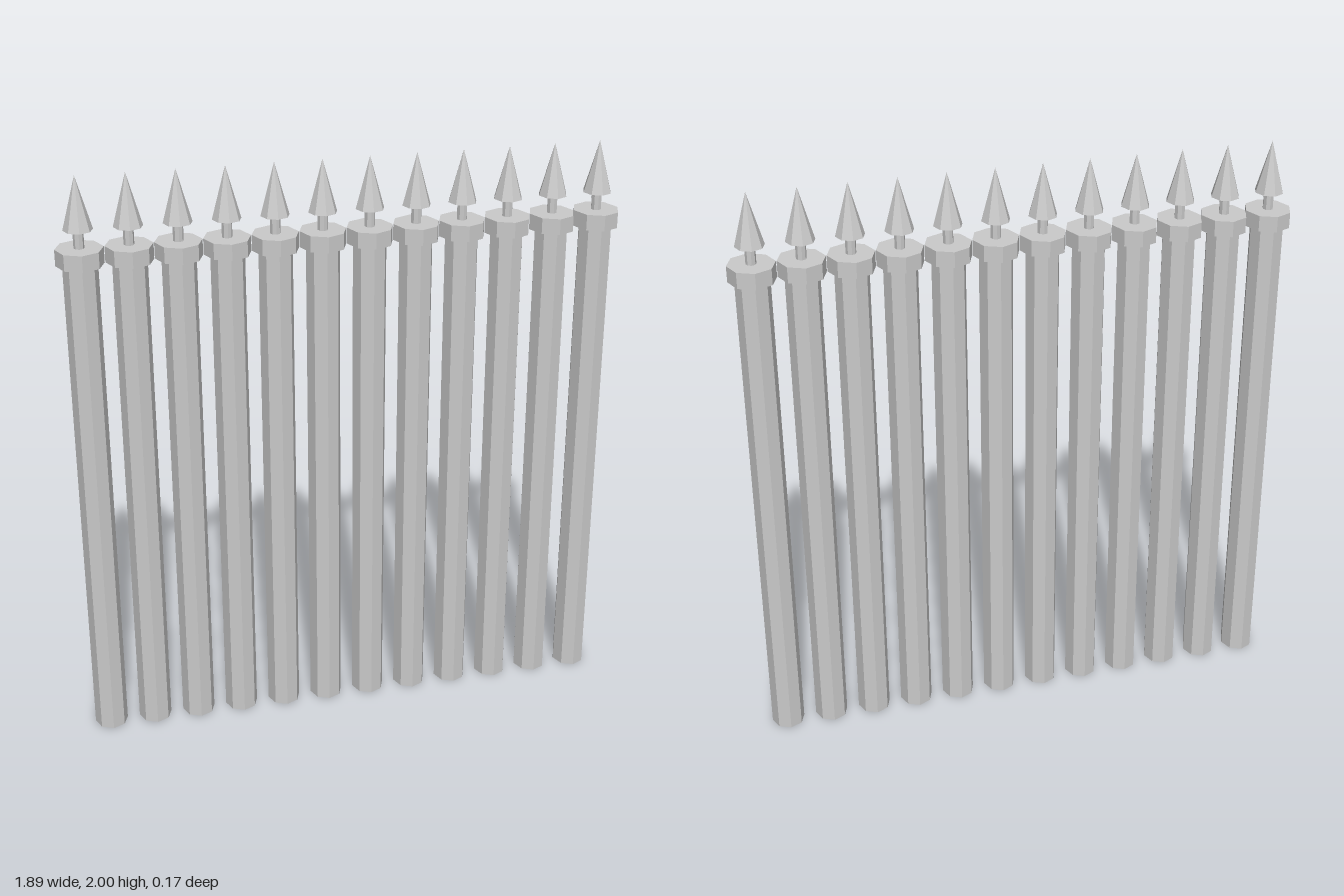
import * as THREE from 'three';

const COUNT = 12;
const PITCH = 0.1575;
const SQUASH = 0.905; // posts are slightly narrower along the fence line

export function createModel() {
  const model = new THREE.Group();
  model.name = 'fence';
  const material = new THREE.MeshStandardMaterial({ color: 0xcccccc, flatShading: true });

  // Eight-sided part spanning bottom..top
  const part = (name, radiusTop, radiusBottom, bottom, top) => {
    const geometry = new THREE.CylinderGeometry(radiusTop, radiusBottom, top - bottom, 8);
    geometry.scale(SQUASH, 1, 1);
    geometry.translate(0, (top + bottom) / 2, 0);
    return { name, geometry };
  };

  const parts = [
    part('shaft', 0.063, 0.063, 0, 1.711),
    part('collar', 0.086, 0.086, 1.711, 1.765),
    part('neck', 0.019, 0.019, 1.765, 1.825),
    part('spike', 0, 0.053, 1.825, 2),
  ];

  // Row of identical spiked posts
  for (let i = 0; i < COUNT; i++) {
    const post = new THREE.Group();
    post.name = `post${i + 1}`;
    for (const { name, geometry } of parts) {
      const mesh = new THREE.Mesh(geometry, material);
      mesh.name = name;
      post.add(mesh);
    }
    post.position.x = (i - (COUNT - 1) / 2) * PITCH;
    model.add(post);
  }
  return model;
}
